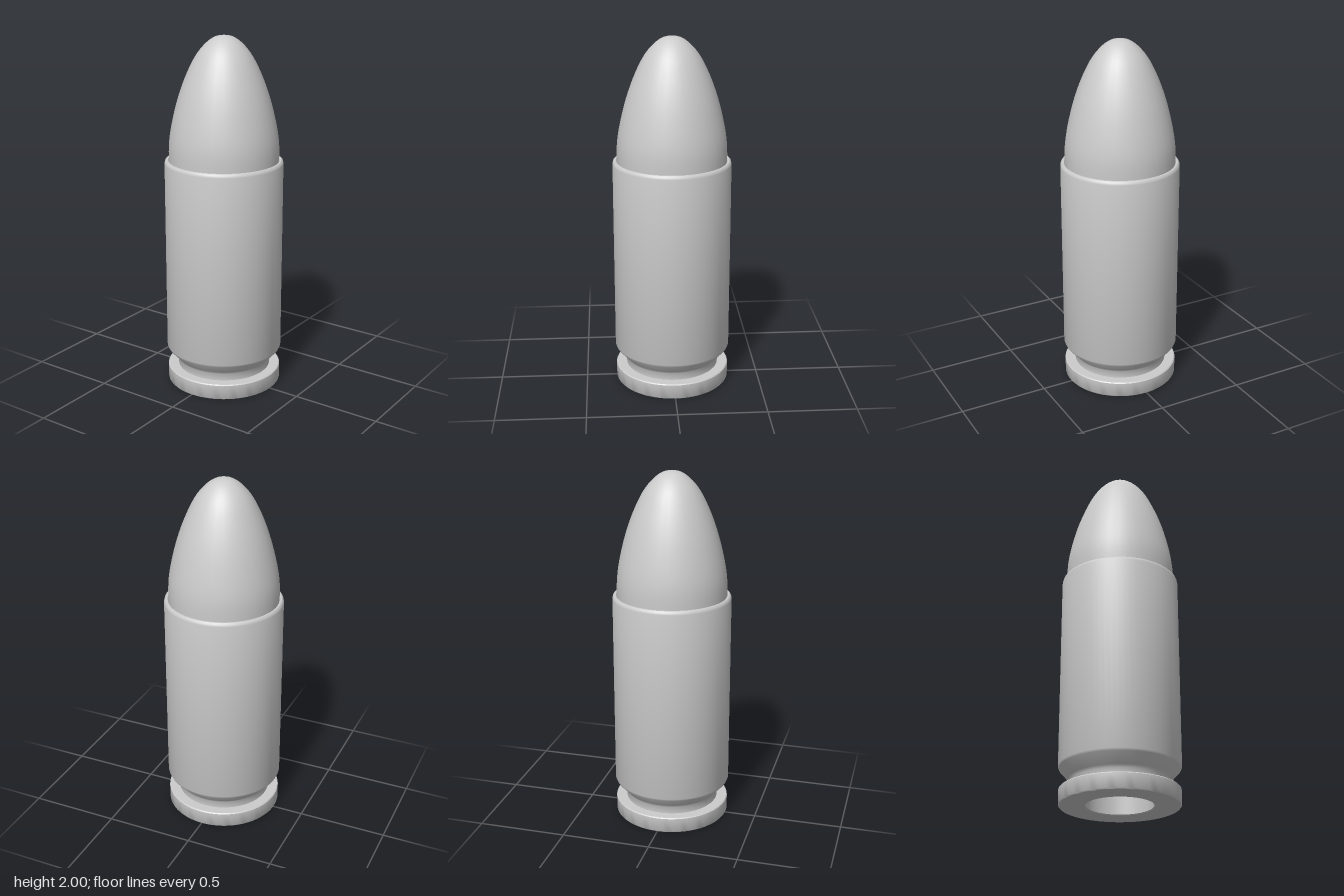
import * as THREE from 'three';
import { toCreasedNormals } from 'three/addons/utils/BufferGeometryUtils.js';

const points = (list) => list.map(([r, y]) => new THREE.Vector2(r, y));

export function createModel() {
  const group = new THREE.Group();
  const material = new THREE.MeshStandardMaterial({ color: 0xcccccc });
  const add = (name, geometry) => {
    const mesh = new THREE.Mesh(geometry, material);
    mesh.name = name;
    group.add(mesh);
  };

  // Casing: base recess, rim, extractor groove, straight wall, rounded mouth
  const casing = new THREE.LatheGeometry(points([
    [0, 0.22], [0.18, 0.22], [0.18, 0.005], [0.185, 0],
    [0.32, 0], [0.325, 0.006], [0.325, 0.085], [0.32, 0.09],
    [0.265, 0.09], [0.265, 0.13], [0.275, 0.145], [0.325, 0.2], [0.33, 0.212],
    [0.33, 1.295], [0.327, 1.308], [0.319, 1.315],
    [0.31, 1.315], [0.303, 1.308], [0.3, 1.295], [0.3, 1.2],
  ]), 64);
  add('casing', toCreasedNormals(casing, 0.7));

  // Tip: smooth pointed dome seated in the mouth
  const dome = new THREE.SplineCurve(points([
    [0.302, 1.2], [0.306, 1.36], [0.296, 1.47], [0.268, 1.6], [0.235, 1.71],
    [0.195, 1.81], [0.15, 1.895], [0.1, 1.955], [0.05, 1.99], [0, 2],
  ]));
  const profile = dome.getPoints(28);
  profile[profile.length - 1].set(0, 2);
  add('tip', new THREE.LatheGeometry(profile, 32));

  return group;
}
